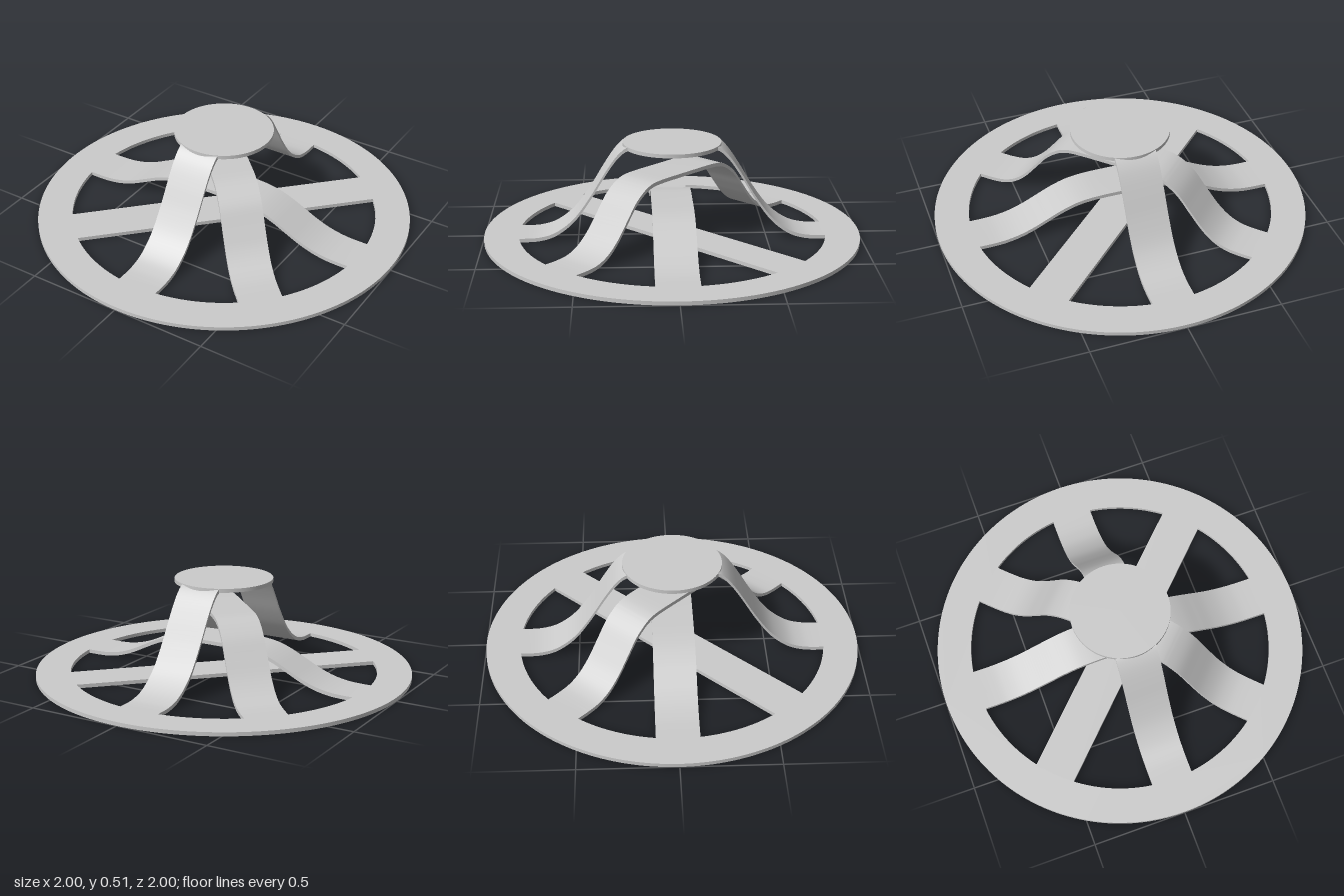
import * as THREE from 'three';
import { toCreasedNormals } from 'three/addons/utils/BufferGeometryUtils.js';

const THICK = 0.02, WIDTH = 0.22, REACH = 0.818;

export function createModel() {
  const group = new THREE.Group();
  const material = new THREE.MeshStandardMaterial({ color: 0xcccccc });

  const add = (name, geometry) => {
    const mesh = new THREE.Mesh(toCreasedNormals(geometry, 0.5), material);
    mesh.name = name;
    group.add(mesh);
    return mesh;
  };

  // Strap across the ring; half holds [distance from centre, top height] up to the flat foot
  const addStrap = (name, half, angle) => {
    const points = half.map(([s, y]) => new THREE.Vector2(s, y));
    const right = new THREE.SplineCurve(points).getPoints(48);
    right.push(new THREE.Vector2(REACH, THICK));
    const left = right.map(p => new THREE.Vector2(-p.x, p.y)).reverse();
    const top = [...left, ...right];
    const bottom = top.map(p => new THREE.Vector2(p.x, p.y - THICK)).reverse();
    const geometry = new THREE.ExtrudeGeometry(new THREE.Shape([...top, ...bottom]), {
      depth: WIDTH, bevelEnabled: false,
    });
    geometry.translate(0, 0, -WIDTH / 2);
    add(name, geometry).rotation.y = angle;
  };

  // Flat base ring
  const ring = new THREE.Shape().absarc(0, 0, 1, 0, Math.PI * 2, false);
  ring.holes.push(new THREE.Path().absarc(0, 0, 0.817, 0, Math.PI * 2, true));
  const ringGeometry = new THREE.ExtrudeGeometry(ring, {
    depth: THICK, bevelEnabled: false, curveSegments: 96,
  });
  ringGeometry.rotateX(-Math.PI / 2);
  add('baseRing', ringGeometry);

  // Flat bar on one diagonal
  const bar = add('flatBar', new THREE.BoxGeometry(REACH * 2, THICK, WIDTH));
  bar.position.y = THICK / 2;
  bar.rotation.y = Math.PI / 4;

  // Three arches of rising height
  addStrap('lowArch', [
    [0.12, 0.188], [0.2, 0.184], [0.28, 0.171], [0.36, 0.143], [0.44, 0.105],
    [0.52, 0.067], [0.6, 0.039], [0.68, 0.024], [0.75, 0.02],
  ], 0);
  addStrap('middleArch', [
    [0.13, 0.37], [0.215, 0.368], [0.27, 0.36], [0.32, 0.338], [0.385, 0.287],
    [0.455, 0.2], [0.526, 0.115], [0.597, 0.057], [0.67, 0.028], [0.75, 0.02],
  ], -Math.PI / 4);
  addStrap('highArch', [
    [0.12, 0.514], [0.2, 0.514], [0.24, 0.51], [0.28, 0.478], [0.32, 0.428], [0.37, 0.35],
    [0.43, 0.25], [0.5, 0.15], [0.56, 0.09], [0.63, 0.045], [0.7, 0.025], [0.76, 0.02],
  ], Math.PI / 2);

  // Round plate on top of the high arch
  const plate = add('topPlate', new THREE.CylinderGeometry(0.26, 0.26, THICK, 64));
  plate.position.y = 0.505;

  return group;
}
